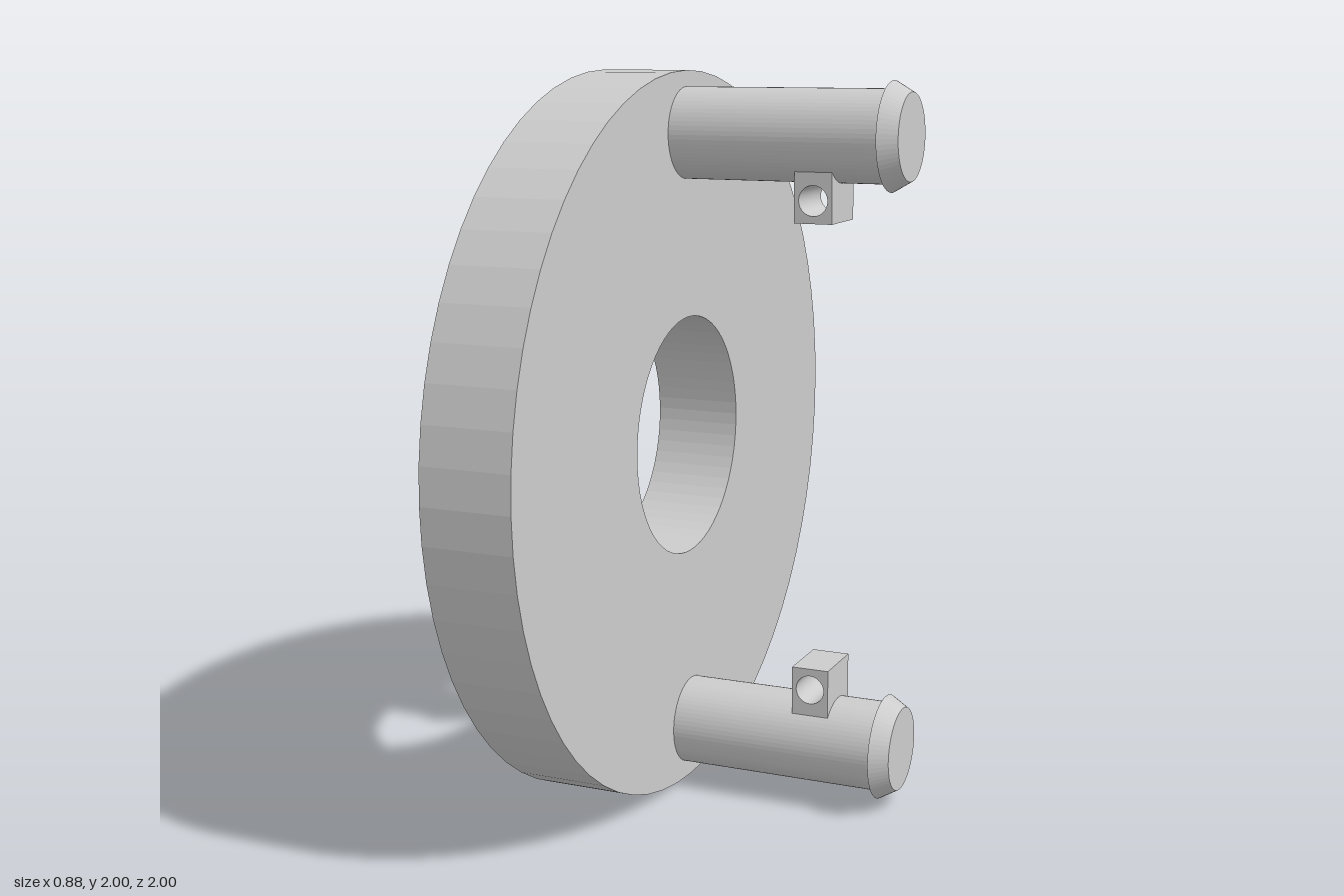
import * as THREE from 'three';

const material = new THREE.MeshStandardMaterial({ color: 0xcccccc, flatShading: true });

// Solid of revolution around the x axis; profile points are [radius, x]
function turned(name, profile, sides) {
  const points = profile.map(([r, x]) => new THREE.Vector2(r, x));
  const geometry = new THREE.LatheGeometry(points, sides).rotateZ(-Math.PI / 2);
  const mesh = new THREE.Mesh(geometry, material);
  mesh.name = name;
  return mesh;
}

// Small block with a round eye running along z
function eyeLug() {
  const w = 0.0525, bottom = -0.225, top = -0.07, depth = 0.166;
  const shape = new THREE.Shape();
  shape.moveTo(-w, bottom).lineTo(w, bottom).lineTo(w, top).lineTo(-w, top).closePath();
  shape.holes.push(new THREE.Path().absarc(0, -0.165, 0.04, 0, Math.PI * 2, true));
  const geometry = new THREE.ExtrudeGeometry(shape, { depth, bevelEnabled: false, curveSegments: 32 });
  geometry.translate(0.2, 0, -depth / 2);
  const mesh = new THREE.Mesh(geometry, material);
  mesh.name = 'eyeLug';
  return mesh;
}

// Peg with a flared, tapered lip and an eye lug facing the disc centre
function peg(name) {
  const group = new THREE.Group();
  group.name = name;
  group.add(
    turned('pegShaft', [[0, -0.2], [0.123, -0.2], [0.123, 0.392], [0, 0.392]], 64),
    turned('pegLip', [[0, 0.39], [0.144, 0.39], [0.115, 0.44], [0, 0.44]], 64),
    eyeLug()
  );
  return group;
}

export function createModel() {
  const model = new THREE.Group();
  model.name = 'discWithPegs';

  // Thick disc with a central bore
  const disc = turned('disc', [[0.333, -0.443], [1, -0.443], [1, -0.195], [0.333, -0.195], [0.333, -0.443]], 64);
  disc.position.y = 1;
  model.add(disc);

  // Two opposite pegs, the lower one turned half a revolution
  for (const side of [1, -1]) {
    const p = peg(side > 0 ? 'upperPeg' : 'lowerPeg');
    p.position.y = 1 + side * 0.834;
    if (side < 0) p.rotation.x = Math.PI;
    model.add(p);
  }
  return model;
}
